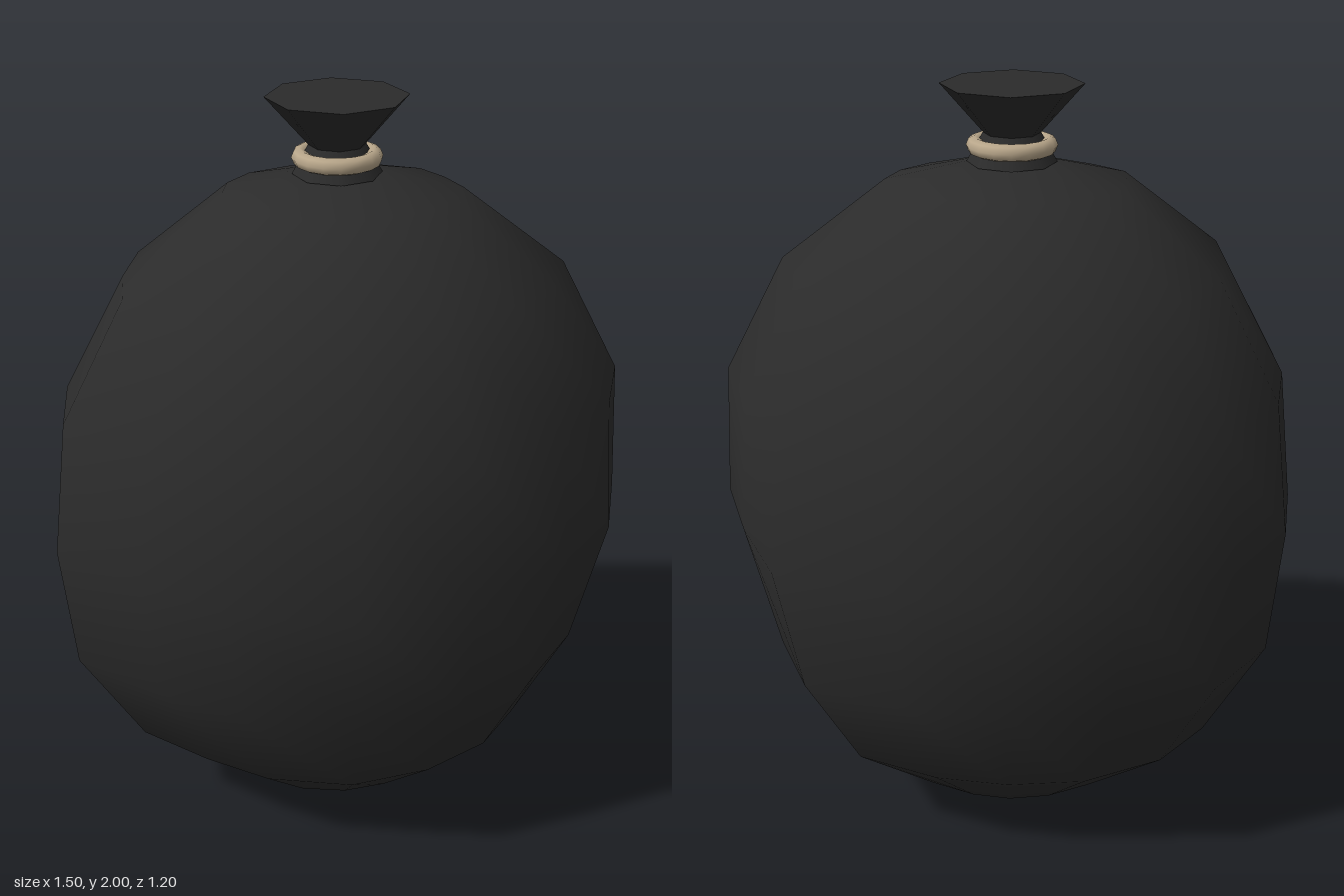
import * as THREE from 'three';

// Half-widths of the lumpy sack around its girth, from -x through +z, +x and -z
const GIRTH_X = [.74, .795, .735, .81, .74, .78, .764, .747, .76, .736, .806, .705, .74, .73, .778, .757];
const GIRTH_Z = [.6, .613, .573, .59, .625, .595, .58, .613, .6, .587, .63, .6, .58, .62, .615, .587];
// Sideways bulge of each ring, from the top pole to the bottom pole
const BULGE_RIGHT = [0, .05, .05, .035, 0, -.03, -.01, 0, 0];
const BULGE_LEFT = [0, -.01, .01, .012, 0, .045, .07, .07, 0];
const AXIS_X = -0.01, AXIS_Z = -0.025, HALF_HEIGHT = 0.92;

function sackGeometry() {
  const cols = 16, rows = 8;
  const geo = new THREE.SphereGeometry(1, cols, rows);
  const pos = geo.attributes.position, nor = geo.attributes.normal;
  const n = new THREE.Vector3();
  for (let row = 0; row <= rows; row++) {
    for (let col = 0; col <= cols; col++) {
      const i = row * (cols + 1) + col, k = col % cols;
      const x = pos.getX(i), y = pos.getY(i), z = pos.getZ(i);
      const side = Math.cos(k * Math.PI * 2 / cols);
      const bulge = (side < 0 ? BULGE_RIGHT : BULGE_LEFT)[row] * side * side;
      const lump = 1 - y * y;
      const rz = 0.6 + (GIRTH_Z[k] - 0.6) * lump;
      pos.setXYZ(i, x * (GIRTH_X[k] + bulge), y * HALF_HEIGHT + HALF_HEIGHT, z * rz);
      // Even ellipsoid normals keep the sack softly shaded
      n.set(x / 0.75, y / HALF_HEIGHT, z / 0.6).normalize();
      nor.setXYZ(i, n.x, n.y, n.z);
    }
  }
  return geo;
}

export function createModel() {
  const group = new THREE.Group();
  group.name = 'tiedSack';
  const black = new THREE.MeshStandardMaterial({ color: 0x2b2b2b });
  black.name = 'blackPlastic';
  const tan = new THREE.MeshStandardMaterial({ color: 0xb8a68a });
  tan.name = 'tanCord';

  const add = (name, geo, mat, y) => {
    const mesh = new THREE.Mesh(geo, mat);
    mesh.name = name;
    mesh.position.set(AXIS_X, y, AXIS_Z);
    group.add(mesh);
    return mesh;
  };

  add('sackBody', sackGeometry(), black, 0);
  // Gathered neck below the cord, flared end above it
  add('gatheredNeck', new THREE.CylinderGeometry(0.07, 0.11, 0.07, 8), black, 1.85);
  add('flaredEnd', new THREE.CylinderGeometry(0.173, 0.065, 0.12, 8), black, 1.94);
  // Cord tied around the neck
  const cord = add('cord', new THREE.TorusGeometry(0.09, 0.021, 8, 16), tan, 1.855);
  cord.rotation.x = Math.PI / 2;
  return group;
}
